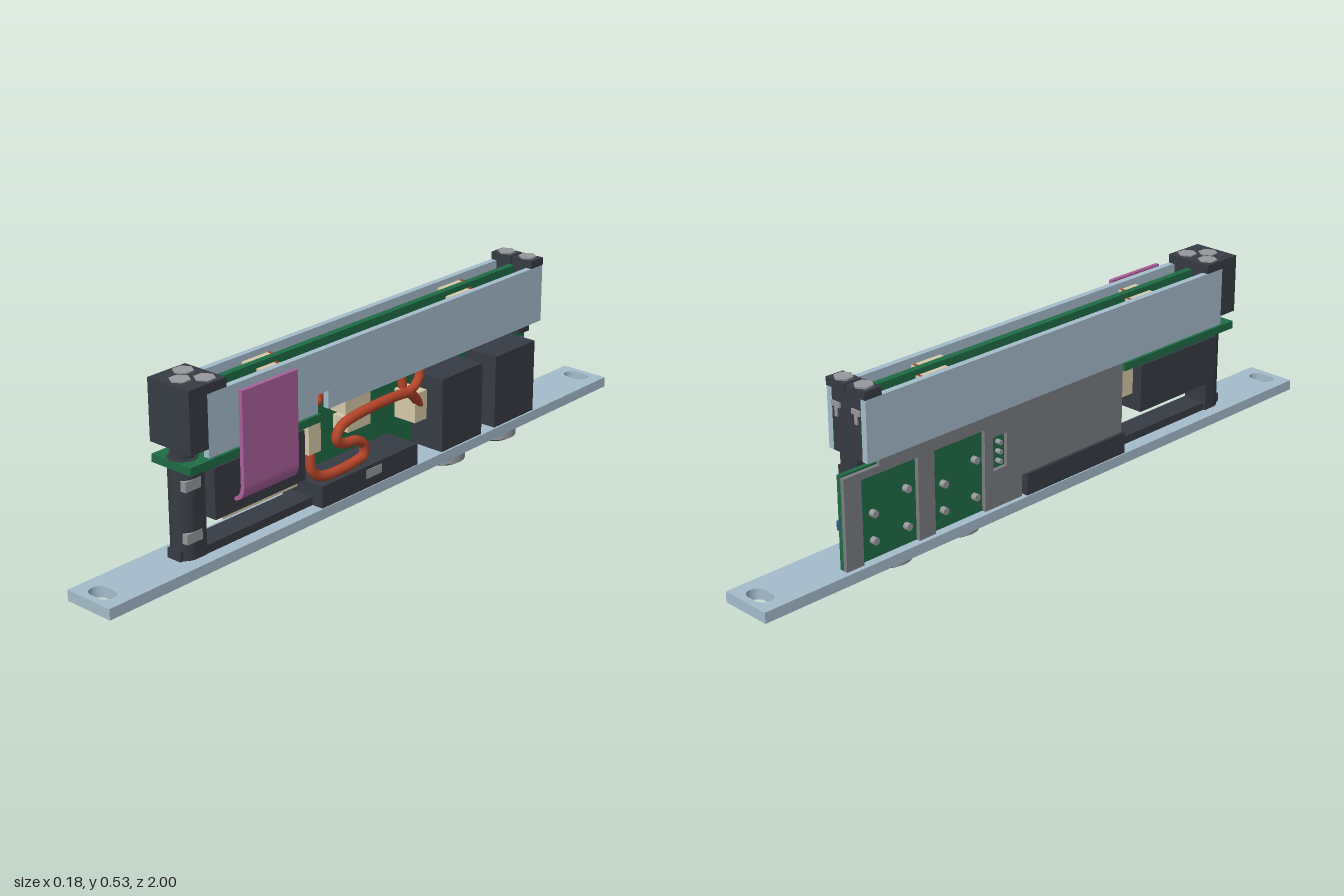
import * as THREE from 'three';

const paint = (name, color) => {
  const m = new THREE.MeshStandardMaterial({ color });
  m.name = name;
  return m;
};

export function createModel() {
  const root = new THREE.Group();
  root.name = 'railModule';
  const alu = paint('pale blue aluminium', 0xa5bccb);
  const dark = paint('charcoal plastic', 0x373b43);
  const green = paint('board green', 0x1f6b45);
  const purple = paint('ribbon purple', 0xab5f9c);
  const copper = paint('wire orange', 0xb5452a);
  const cream = paint('connector cream', 0xd6c9a9);
  const steel = paint('screw grey', 0x96989c);
  const shield = paint('shield grey', 0x7b7d82);
  const blue = paint('terminal blue', 0x2b55b0);
  const CX = -0.017;

  const add = (name, mat, geo, x = 0, y = 0, z = 0) => {
    const m = new THREE.Mesh(geo, mat);
    m.name = name;
    m.position.set(x, y, z);
    root.add(m);
    return m;
  };
  const box = (name, mat, x0, x1, y0, y1, z0, z1) =>
    add(name, mat, new THREE.BoxGeometry(x1 - x0, y1 - y0, z1 - z0), (x0 + x1) / 2, (y0 + y1) / 2, (z0 + z1) / 2);
  const disc = (name, mat, r, y0, y1, x, z, sides = 32) =>
    add(name, mat, new THREE.CylinderGeometry(r, r, y1 - y0, sides), x, (y0 + y1) / 2, z);
  // Outline given as [z, y], thickness along x between x0 and x1
  const sidePlate = (name, mat, pts, x0, x1, holes = []) => {
    const s = new THREE.Shape(pts.map(p => new THREE.Vector2(...p)));
    holes.forEach(h => s.holes.push(new THREE.Path(h.map(p => new THREE.Vector2(...p)))));
    const g = new THREE.ExtrudeGeometry(s, { depth: x1 - x0, bevelEnabled: false });
    g.rotateY(-Math.PI / 2);
    return add(name, mat, g, x1);
  };
  const wire = (name, pts, r = 0.014) => {
    const c = new THREE.CatmullRomCurve3(pts.map(p => new THREE.Vector3(...p)), false, 'centripetal');
    add(name, copper, new THREE.TubeGeometry(c, 90, r, 12));
    [pts[0], pts[pts.length - 1]].forEach(p => add('wireEnd', copper, new THREE.SphereGeometry(r, 12, 8), ...p));
  };

  // Base plate with a slot at each end
  const plate = new THREE.Shape();
  plate.moveTo(-0.075, -1).lineTo(0.075, -1).lineTo(0.075, 1).lineTo(-0.075, 1).closePath();
  for (const z of [-0.955, 0.955]) {
    const slot = new THREE.Path();
    slot.absarc(0.014, z, 0.025, -Math.PI / 2, Math.PI / 2, false);
    slot.absarc(-0.014, z, 0.025, Math.PI / 2, Math.PI * 1.5, false);
    slot.closePath();
    plate.holes.push(slot);
  }
  const plateGeo = new THREE.ExtrudeGeometry(plate, { depth: 0.03, bevelEnabled: false });
  plateGeo.rotateX(-Math.PI / 2);
  add('basePlate', alu, plateGeo, CX, 0.033, 0);

  // Buttons and bolt heads under the plate
  for (const z of [-0.305, -0.54]) {
    disc('buttonCollar', steel, 0.063, 0.01, 0.033, -0.007, z);
    disc('buttonFace', dark, 0.046, 0.0, 0.012, -0.007, z);
    add('buttonRing', steel, new THREE.TorusGeometry(0.02, 0.003, 8, 24).rotateX(Math.PI / 2), -0.007, 0.001, z);
  }
  for (const z of [0.685, 0.06]) disc('boltHead', steel, 0.029, 0.01, 0.033, CX, z);

  // Side rails and the web joining them
  const railEnds = [-0.665, 0.66];
  sidePlate('rightRail', alu, [[railEnds[0], 0.335], [0.235, 0.335], [0.235, 0.385], [0.275, 0.385],
    [0.275, 0.335], [railEnds[1], 0.335], [railEnds[1], 0.502], [railEnds[0], 0.502]], 0.037, 0.055);
  box('leftRail', alu, -0.088, -0.07, 0.335, 0.502, ...railEnds);
  box('railWeb', alu, -0.07, 0.037, 0.385, 0.4, -0.615, 0.66);

  // Upper circuit board and its connectors
  box('upperBoard', green, -0.027, -0.008, 0.4, 0.5, -0.615, 0.66);
  for (const [x0, x1, z0, z1] of [[-0.07, -0.027, -0.45, -0.35], [-0.008, 0.034, -0.41, -0.31],
    [-0.07, -0.027, 0.32, 0.42], [-0.008, 0.034, 0.36, 0.43]]) {
    box('upperConnector', cream, x0, x1, 0.43, 0.485, z0, z1);
    box('connectorPins', copper, x0 + 0.004, x1 - 0.004, 0.484, 0.488, z0 + 0.004, z0 + 0.009);
  }

  // Front block, cap and column
  box('frontBlock', dark, -0.088, 0.055, 0.36, 0.527, 0.66, 0.72);
  box('frontCap', dark, -0.088, 0.055, 0.502, 0.527, 0.595, 0.66);
  box('frontInsert', dark, -0.07, 0.037, 0.4, 0.502, 0.6, 0.66);
  for (const [x, z] of [[-0.055, 0.633], [0.02, 0.633], [CX, 0.68]])
    disc('capScrew', steel, 0.028, 0.51, 0.53, x, z, 6);
  disc('frontColumn', dark, 0.0385, 0.063, 0.33, CX, 0.681);
  box('columnBack', dark, -0.0555, 0.0215, 0.063, 0.305, 0.645, 0.681);
  disc('columnNeck', dark, 0.03, 0.33, 0.36, CX, 0.681);
  box('columnFoot', dark, -0.04, 0.006, 0.063, 0.09, 0.68, 0.722);
  for (const y of [0.125, 0.265]) box('columnNut', steel, 0.004, 0.023, y - 0.014, y + 0.014, 0.66, 0.712);

  // Rear end cap
  box('rearInsert', dark, -0.07, 0.037, 0.335, 0.502, -0.665, -0.615);
  box('rearInsertFoot', dark, -0.048, 0.015, 0.295, 0.335, -0.665, -0.615);
  for (const x of [-0.054, 0.02]) {
    box('rearCap', dark, x - 0.034, x + 0.035, 0.502, 0.524, -0.667, -0.613);
    disc('capScrew', steel, 0.026, 0.512, 0.529, x, -0.64, 6);
    box('rearNut', steel, x - 0.016, x + 0.016, 0.455, 0.469, -0.669, -0.64);
    box('rearNutSlot', steel, x - 0.005, x + 0.005, 0.43, 0.455, -0.669, -0.64);
  }

  // Front horizontal board with the module hanging under it
  box('frontBoard', green, -0.085, 0.052, 0.306, 0.328, 0.26, 0.72);
  box('frontModule', dark, -0.088, 0.055, 0.166, 0.304, 0.325, 0.645);
  box('moduleLabelPlate', cream, -0.07, 0.05, 0.156, 0.166, 0.35, 0.615);
  box('frontConnector', cream, 0.0, 0.05, 0.225, 0.306, 0.26, 0.305);
  box('frontConnectorLeft', cream, -0.075, -0.03, 0.225, 0.306, 0.262, 0.305);

  // Ribbon cable, curving out of the module and up
  const r = new THREE.Shape();
  r.moveTo(0.05, 0.198).lineTo(0.058, 0.198);
  r.quadraticCurveTo(0.091, 0.205, 0.091, 0.245);
  r.lineTo(0.091, 0.495).lineTo(0.079, 0.495).lineTo(0.079, 0.245);
  r.quadraticCurveTo(0.079, 0.213, 0.05, 0.204);
  r.closePath();
  add('ribbonCable', purple, new THREE.ExtrudeGeometry(r, { depth: 0.195, bevelEnabled: false, curveSegments: 12 }), 0, 0, 0.385);

  // Lower tray and the bar running to the column
  box('lowerTray', dark, -0.088, 0.055, 0.063, 0.125, -0.12, 0.262);
  box('trayBar', dark, -0.05, 0.02, 0.063, 0.086, 0.26, 0.65);
  box('trayNut', steel, 0.03, 0.057, 0.09, 0.115, 0.03, 0.09);

  // Vertical board
  box('lowerBoard', green, -0.067, -0.054, 0.063, 0.32, -0.735, 0.25);
  box('boardConnector', cream, -0.054, 0.0, 0.265, 0.318, 0.01, 0.11);
  box('boardConnector', cream, -0.054, 0.0, 0.21, 0.25, 0.01, 0.1);
  box('boardConnector', cream, -0.054, 0.02, 0.165, 0.25, -0.2, -0.15);
  box('leftSwitch', dark, -0.054, 0.055, 0.065, 0.28, -0.4, -0.225);
  box('rearSwitch', dark, -0.054, 0.055, 0.065, 0.28, -0.64, -0.46);
  box('terminalBlock', blue, -0.054, -0.036, 0.1, 0.25, -0.71, -0.67);
  box('terminalLever', blue, -0.054, -0.04, 0.165, 0.19, -0.73, -0.71);

  // Shield with windows, open at the bottom over the switches
  sidePlate('shieldPanel', shield, [[-0.735, 0.063], [-0.68, 0.063], [-0.68, 0.295], [-0.495, 0.295],
    [-0.495, 0.063], [-0.44, 0.063], [-0.44, 0.295], [-0.265, 0.295], [-0.265, 0.063], [-0.13, 0.063],
    [-0.13, 0.125], [0.258, 0.125], [0.258, 0.335], [-0.62, 0.335], [-0.62, 0.315], [-0.735, 0.315]],
  -0.079, -0.067, [[[-0.235, 0.17], [-0.185, 0.17], [-0.185, 0.265], [-0.235, 0.265]]]);
  const pin = (y, z, rad) => {
    const m = add('solderPin', steel, new THREE.CylinderGeometry(rad, rad, 0.018, 12), -0.074, y, z);
    m.rotation.z = Math.PI / 2;
  };
  for (const z of [-0.585, -0.35]) {
    for (const s of [-1, 1]) pin(0.205 + s * 0.015, z + s * 0.055, 0.01);
    pin(0.115, z - 0.055, 0.01);
    pin(0.115, z + 0.055, 0.01);
  }
  for (let i = 0; i < 3; i++) pin(0.19 + i * 0.027, -0.21, 0.007);

  // Wires
  wire('looseWire', [[0.03, 0.235, 0.28], [0.034, 0.17, 0.278], [0.038, 0.147, 0.25], [0.04, 0.145, 0.12],
    [0.04, 0.155, 0.085], [0.04, 0.185, 0.085], [0.04, 0.205, 0.115], [0.04, 0.212, 0.165], [0.04, 0.23, 0.19],
    [0.04, 0.256, 0.18], [0.037, 0.27, 0.14], [0.03, 0.272, -0.1], [0.022, 0.25, -0.14], [0.005, 0.205, -0.185]]);
  wire('risingWire', [[0.03, 0.272, -0.1], [0.026, 0.28, -0.14], [0.022, 0.305, -0.165], [0.018, 0.345, -0.16],
    [0.016, 0.355, -0.1], [0.016, 0.355, 0.2], [0.022, 0.36, 0.24], [0.04, 0.36, 0.26]], 0.013);
  wire('leftWire', [[-0.04, 0.24, -0.17], [-0.045, 0.31, -0.16], [-0.052, 0.352, -0.13],
    [-0.052, 0.352, 0.25], [-0.052, 0.34, 0.28]], 0.013);
  return root;
}
